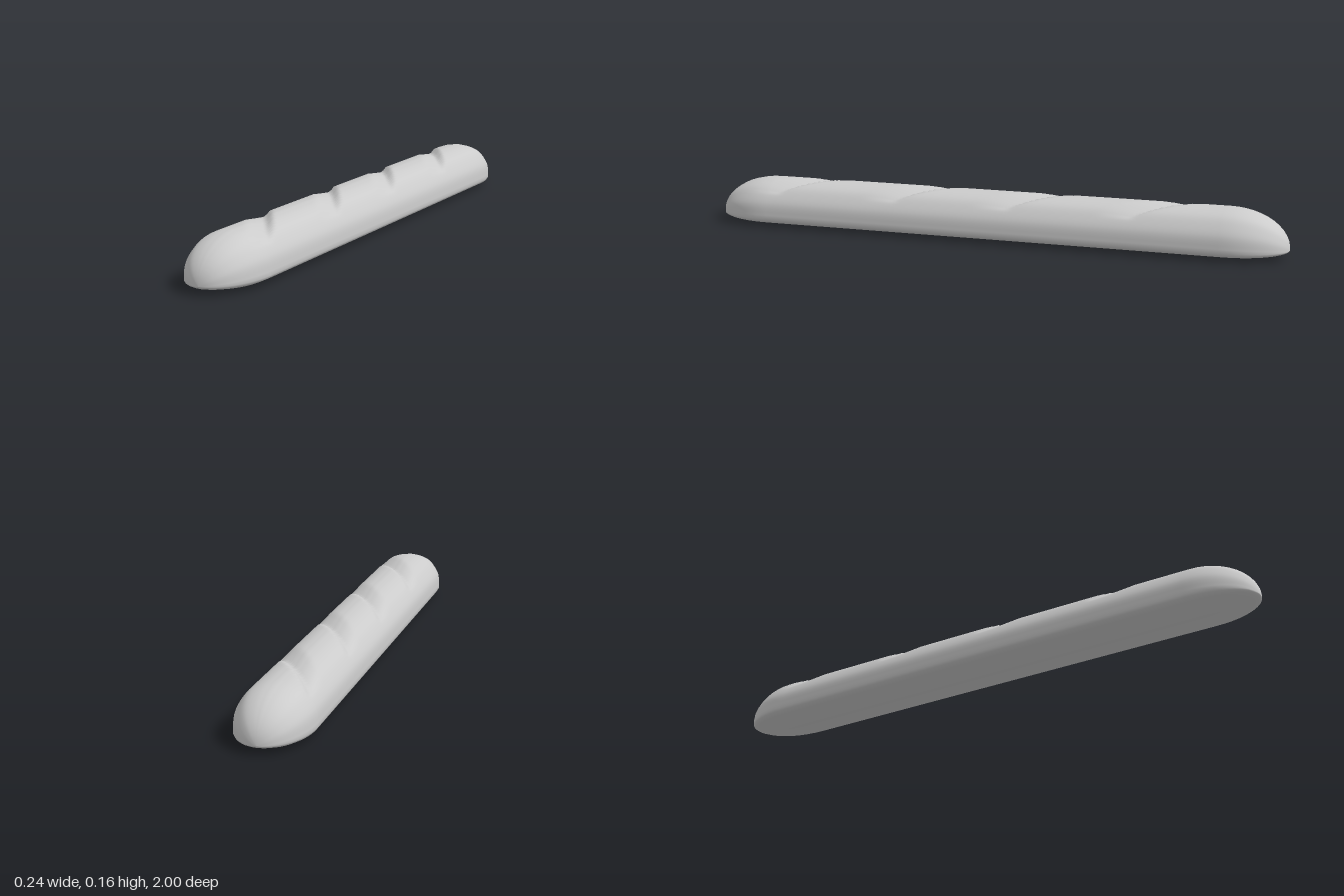
import * as THREE from 'three';

// Half cross-section of the loaf, from the crown down to the underside
const PROFILE = [
  [0, 0.158], [0.037, 0.153], [0.075, 0.137], [0.1, 0.11], [0.117, 0.078],
  [0.122, 0.03], [0.117, 0.021], [0.1, 0.013], [0.05, 0.004], [0, 0.001],
];
const RIM_Y = 0.028, BODY = 0.8, CAP = 0.2;
const SLASHES = [-0.64, -0.22, 0.18, 0.61];
const SLANT = 1.6;

// Closed section: down the +x side, then back up the -x side
function makeSection() {
  const dome = new THREE.CatmullRomCurve3(
    PROFILE.slice(0, 6).map(([x, y]) => new THREE.Vector3(x, y, 0)), false, 'centripetal').getPoints(20);
  const half = [...dome.map(p => [p.x, p.y]), ...PROFILE.slice(6)];
  const mirrored = half.slice(1, -1).reverse().map(([x, y]) => [-x, y]);
  return [...half, ...mirrored];
}

// Depth of the diagonal scoring: a steep lip, then a gentle rise
function slashDepth(x, z) {
  const fade = Math.max(0, 1 - (x / 0.095) ** 2);
  let depth = 0;
  for (const centre of SLASHES) {
    const d = z - centre - SLANT * x;
    const shape = d < 0 ? 1 + d / 0.025 : 1 - d / 0.12;
    depth = Math.max(depth, shape);
  }
  return 0.02 * depth * Math.sqrt(fade);
}

// Rows along z: rounded spacing in the caps, even spacing in the body
function makeRows() {
  const rows = [], capRows = 12, bodyRows = 160;
  for (let i = 0; i < capRows; i++) rows.push(-BODY - CAP * Math.cos(i / capRows * Math.PI / 2));
  for (let i = 0; i <= bodyRows; i++) rows.push(-BODY + 2 * BODY * i / bodyRows);
  for (let i = 1; i <= capRows; i++) rows.push(BODY + CAP * Math.sin(i / capRows * Math.PI / 2));
  return rows;
}

function makeLoaf() {
  const section = makeSection(), rows = makeRows(), n = section.length;
  const positions = [], indices = [];
  rows.forEach((z, i) => {
    const t = Math.max(0, (Math.abs(z) - BODY) / CAP);
    const s = Math.max(0.001, Math.sqrt(Math.max(0, 1 - t * t)));
    section.forEach(([x, y], j) => {
      const cut = y > 0.09 ? slashDepth(x, z) : 0;
      positions.push(x * s, RIM_Y + (y - RIM_Y) * s - cut, z);
      if (i === rows.length - 1) return;
      const a = i * n + j, b = i * n + (j + 1) % n;
      indices.push(a, a + n, b, b, a + n, b + n);
    });
  });
  const geometry = new THREE.BufferGeometry();
  geometry.setAttribute('position', new THREE.Float32BufferAttribute(positions, 3));
  geometry.setIndex(indices);
  geometry.computeVertexNormals();
  return geometry;
}

export function createModel() {
  const group = new THREE.Group();
  group.name = 'baguette';
  const loaf = new THREE.Mesh(makeLoaf(), new THREE.MeshStandardMaterial({ color: 0xcccccc }));
  loaf.name = 'loaf';
  group.add(loaf);
  return group;
}
